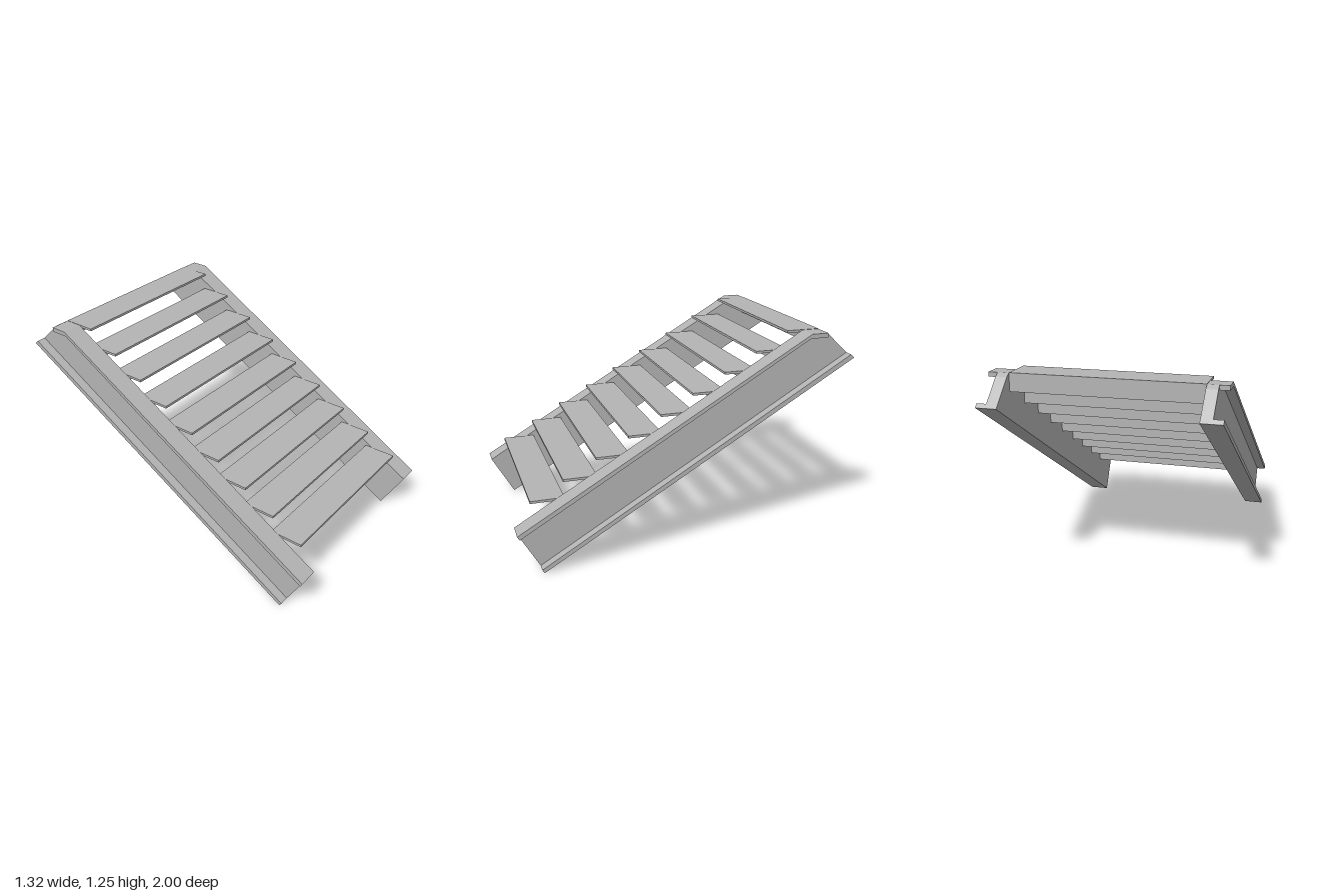
import * as THREE from 'three';

const steel = new THREE.MeshStandardMaterial({ color: 0xb4b4b4 });
steel.name = 'grey steel';

// Side profile given as [z, y] points, extruded across x from x0 to x1
function sidePlate(points, x0, x1, name) {
  const shape = new THREE.Shape(points.map(([z, y]) => new THREE.Vector2(z, y)));
  const geo = new THREE.ExtrudeGeometry(shape, { depth: x1 - x0, bevelEnabled: false });
  geo.rotateY(-Math.PI / 2).translate(x1, 0, 0);
  const mesh = new THREE.Mesh(geo, steel);
  mesh.name = name;
  return mesh;
}

// Channel-section stringer, open towards the outside
function stringer(side, name) {
  const group = new THREE.Group();
  group.name = name;
  const span = (inner, outer) => (side > 0 ? [inner, outer] : [-outer, -inner]);
  const web = [[0.86, 0], [1, 0.245], [-0.72, 1.252], [-0.82, 1.252], [-0.85, 1.235], [-1, 1.095]];
  const topFlange = [[1, 0.245], [-0.72, 1.252], [-0.82, 1.252], [-0.82, 1.226], [-0.713, 1.226], [0.987, 0.222]];
  const bottomFlange = [[0.86, 0], [0.872, 0.021], [-0.978, 1.115], [-1, 1.095]];
  group.add(
    sidePlate(web, ...span(0.54, 0.605), 'web'),
    sidePlate(topFlange, ...span(0.605, 0.66), 'topFlange'),
    sidePlate(bottomFlange, ...span(0.605, 0.66), 'bottomFlange')
  );
  return group;
}

// Horizontal tread with a lip turned down along its back edge
function tread(index) {
  const z = 0.905 - 0.191 * index;
  const y = 0.39 + 0.108 * index;
  const profile = [
    [z, y], [z - 0.197, y], [z - 0.197, y - 0.105], [z - 0.185, y - 0.105],
    [z - 0.185, y - 0.014], [z, y - 0.014]
  ];
  return sidePlate(profile, -0.54, 0.54, 'tread' + (index + 1));
}

export function createModel() {
  const model = new THREE.Group();
  model.name = 'openStaircase';
  model.add(stringer(1, 'leftStringer'), stringer(-1, 'rightStringer'));
  for (let i = 0; i < 9; i++) model.add(tread(i));
  return model;
}
